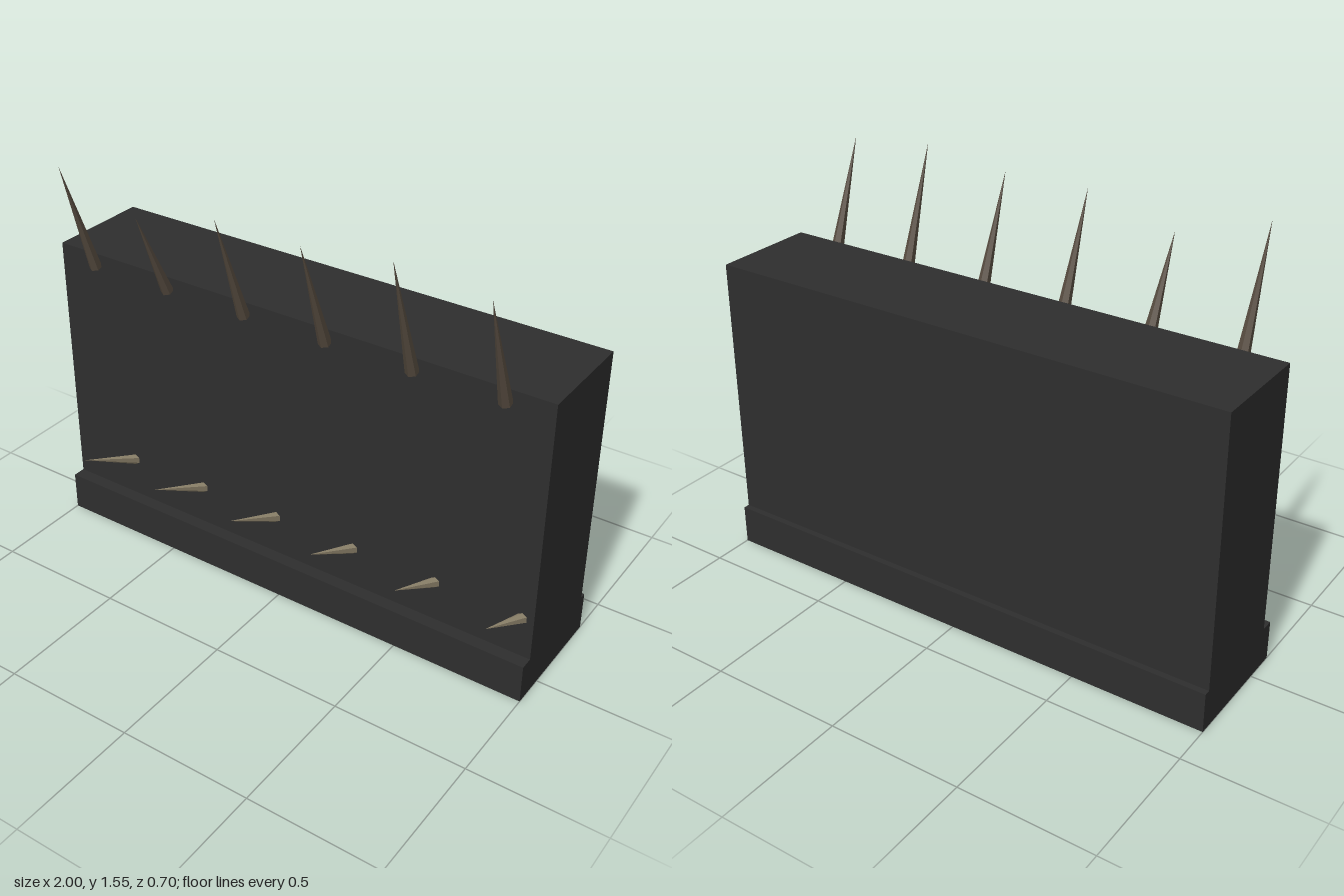
import * as THREE from 'three';

const stone = new THREE.MeshStandardMaterial({ name: 'darkStone', color: 0x2e2e2e });
const horn = new THREE.MeshStandardMaterial({ name: 'darkHorn', color: 0x574c40 });
const bone = new THREE.MeshStandardMaterial({ name: 'paleBone', color: 0xa3977c });
horn.flatShading = bone.flatShading = true;

function block(name, y0, y1, z0, z1) {
  const mesh = new THREE.Mesh(new THREE.BoxGeometry(2, y1 - y0, z1 - z0), stone);
  mesh.name = name;
  mesh.position.set(0, (y0 + y1) / 2, (z0 + z1) / 2);
  return mesh;
}

// A six-sided cone running from the centre of its base to its tip
function spike(name, base, tip, radius, material) {
  const axis = tip.clone().sub(base);
  const mesh = new THREE.Mesh(new THREE.ConeGeometry(radius, axis.length(), 6), material);
  mesh.name = name;
  mesh.position.copy(base).add(tip).multiplyScalar(0.5);
  mesh.quaternion.setFromUnitVectors(new THREE.Vector3(0, 1, 0), axis.normalize());
  return mesh;
}

export function createModel() {
  const model = new THREE.Group();
  model.name = 'spikedWall';

  // Wall standing on a wider plinth
  model.add(block('plinth', 0, 0.15, -0.347, 0.125));
  model.add(block('wall', 0.15, 1.15, -0.323, 0.075));

  // Tall uneven spikes along the top edge, short ones low on the front
  const tipHeights = [1.535, 1.43, 1.51, 1.505, 1.548, 1.515];
  tipHeights.forEach((h, i) => {
    const x = -0.835 + i / 3;
    model.add(spike('upperSpike', new THREE.Vector3(x, 1.1, 0.081), new THREE.Vector3(x, h, 0.225), 0.024, horn));
    const lx = x + 0.124;
    model.add(spike('lowerSpike', new THREE.Vector3(lx, 0.305, 0.07), new THREE.Vector3(lx, 0.452, 0.35), 0.02, bone));
  });
  return model;
}
